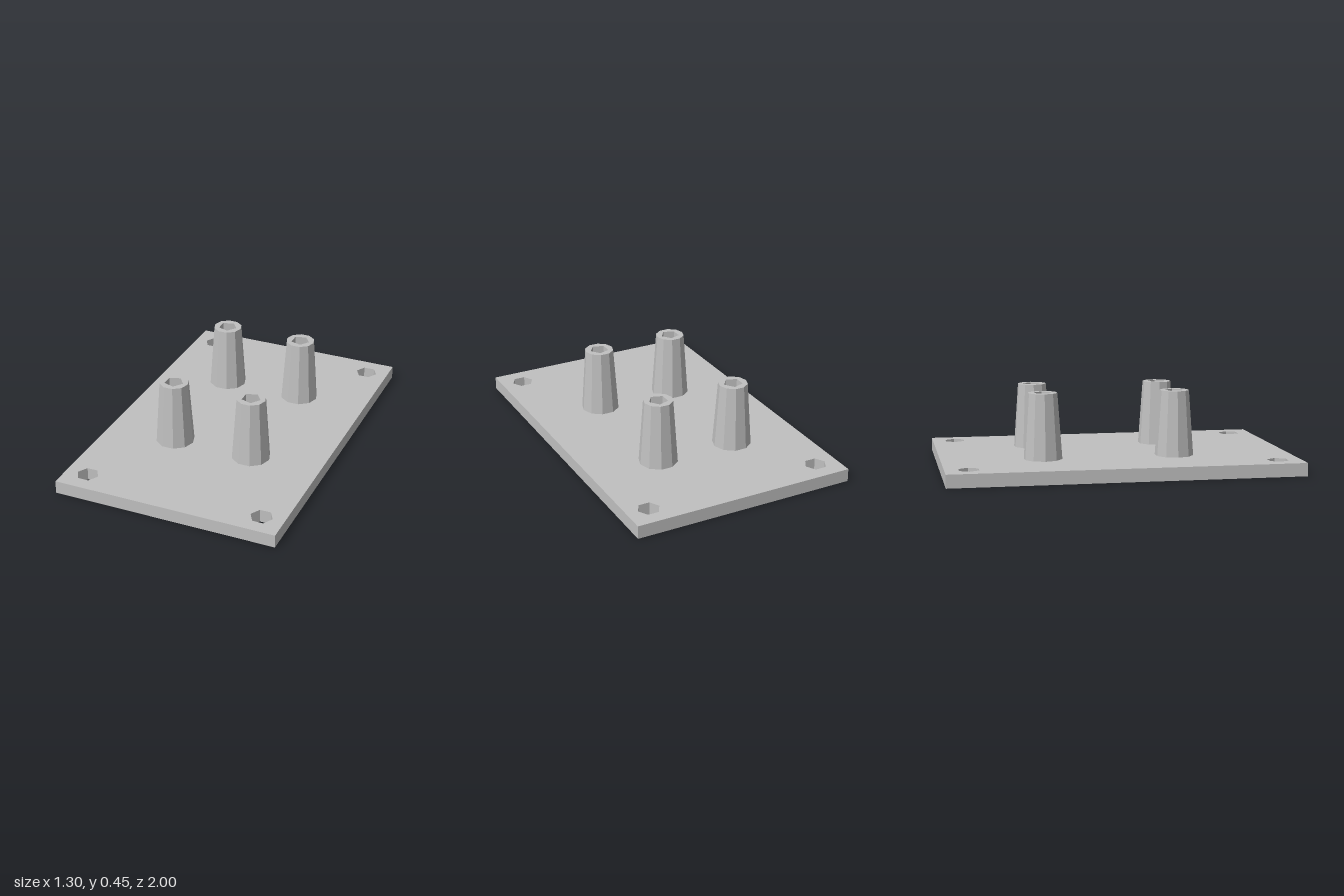
import * as THREE from 'three';

const PLATE = { width: 1.3, length: 2, thickness: 0.075 };
const POST = { top: 0.45, bottomRadius: 0.111, topRadius: 0.084, boreRadius: 0.055 };

// Regular polygon with its first corner on +x
function polygon(PathType, sides, radius, cx = 0, cy = 0) {
  const points = [];
  for (let i = 0; i < sides; i++) {
    const a = (i / sides) * Math.PI * 2;
    points.push(new THREE.Vector2(cx + radius * Math.cos(a), cy + radius * Math.sin(a)));
  }
  const path = new PathType();
  path.setFromPoints(points);
  path.closePath();
  return path;
}

// Open prism or cone wall, first corner on +x, standing on the plate
function wall(topRadius, bottomRadius, sides) {
  const height = POST.top - PLATE.thickness;
  const geometry = new THREE.CylinderGeometry(
    topRadius, bottomRadius, height, sides, 1, true, Math.PI / 2);
  return geometry.translate(0, PLATE.thickness + height / 2, 0);
}

export function createModel() {
  const model = new THREE.Group();
  model.name = 'mountingPlate';
  const grey = new THREE.MeshStandardMaterial({
    color: 0xc0c0c0, flatShading: true, side: THREE.DoubleSide });
  grey.name = 'grey';

  const add = (parent, name, geometry) => {
    const mesh = new THREE.Mesh(geometry, grey);
    mesh.name = name;
    parent.add(mesh);
  };

  // Base plate with a hexagonal hole through each corner
  const w = PLATE.width / 2, l = PLATE.length / 2;
  const outline = new THREE.Shape([
    new THREE.Vector2(-w, -l), new THREE.Vector2(w, -l),
    new THREE.Vector2(w, l), new THREE.Vector2(-w, l)]);
  for (const x of [-0.52, 0.52])
    for (const y of [-0.867, 0.867])
      outline.holes.push(polygon(THREE.Path, 6, 0.063, x, y));
  add(model, 'basePlate', new THREE.ExtrudeGeometry(outline, {
    depth: PLATE.thickness, bevelEnabled: false }).rotateX(-Math.PI / 2));

  // Tapered ten-sided posts, each with a five-sided bore
  const rim = polygon(THREE.Shape, 10, POST.topRadius);
  rim.holes.push(polygon(THREE.Path, 5, POST.boreRadius));
  const outer = wall(POST.topRadius, POST.bottomRadius, 10);
  const bore = wall(POST.boreRadius, POST.boreRadius, 5);
  const cap = new THREE.ShapeGeometry(rim).rotateX(-Math.PI / 2).translate(0, POST.top, 0);
  for (const x of [-0.237, 0.235])
    for (const z of [-0.425, 0.333]) {
      const post = new THREE.Group();
      post.name = (z > 0 ? 'front' : 'back') + (x > 0 ? 'Left' : 'Right') + 'Post';
      add(post, 'postWall', outer);
      add(post, 'postBore', bore);
      add(post, 'postRim', cap);
      post.position.set(x, 0, z);
      model.add(post);
    }
  return model;
}
